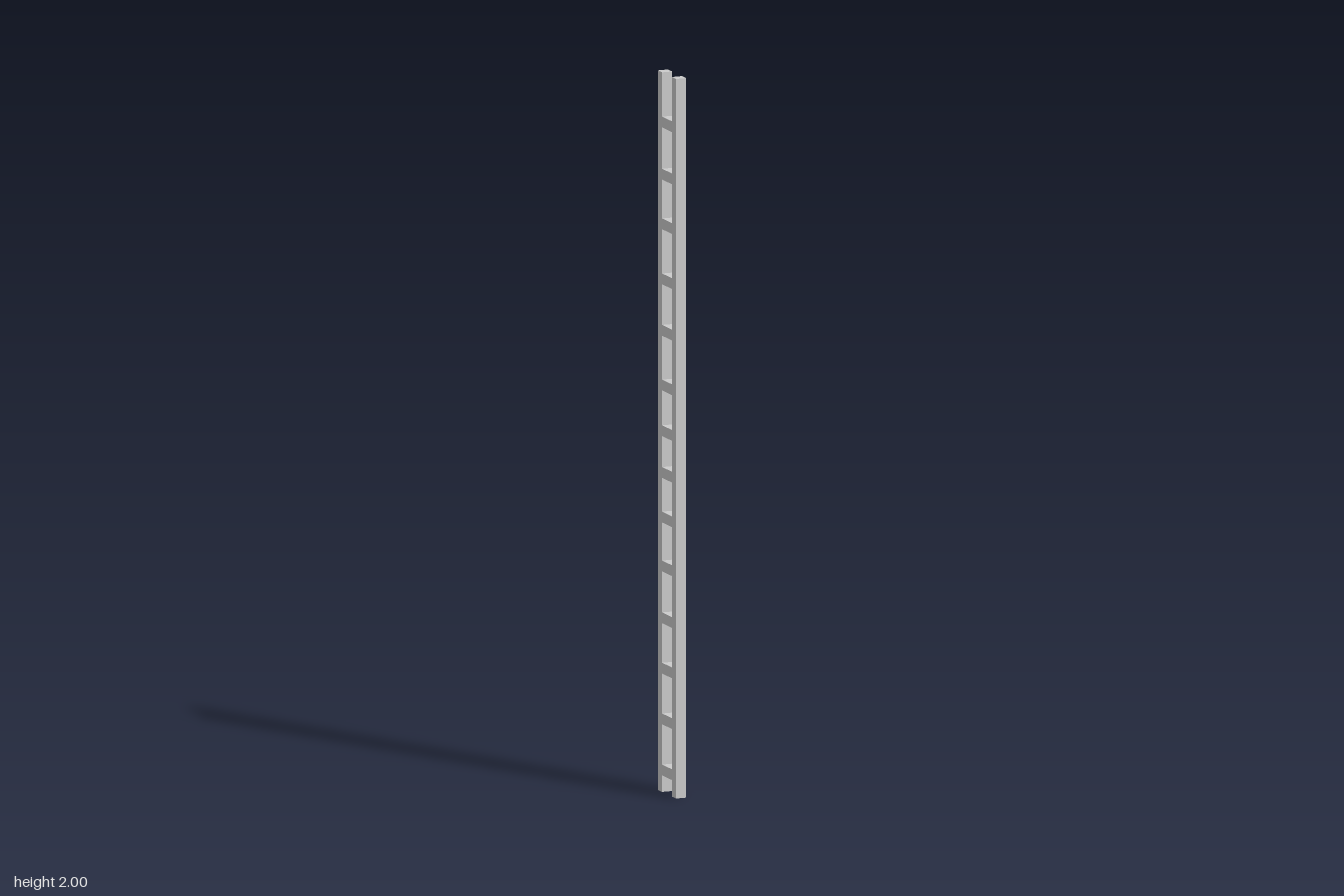
import * as THREE from 'three';

const WIDTH = 0.03; // depth of the timber along x

export function createModel() {
  const ladder = new THREE.Group();
  ladder.name = 'ladder';
  const material = new THREE.MeshStandardMaterial({ color: 0xcccccc, flatShading: true });

  const addBar = (name, height, depth, y, z) => {
    const bar = new THREE.Mesh(new THREE.BoxGeometry(WIDTH, height, depth), material);
    bar.name = name;
    bar.position.set(0, y, z);
    ladder.add(bar);
  };

  // Two upright rails
  addBar('frontRail', 2, 0.029, 1, 0.0475);
  addBar('backRail', 2, 0.029, 1, -0.0475);

  // Unevenly spaced rungs between the rails
  const rungHeights = [
    0.061, 0.203, 0.344, 0.484, 0.628, 0.764, 0.888,
    1.004, 1.131, 1.283, 1.426, 1.579, 1.717, 1.862,
  ];
  rungHeights.forEach((y, i) => addBar(`rung${i + 1}`, 0.03, 0.066, y, 0));

  return ladder;
}
